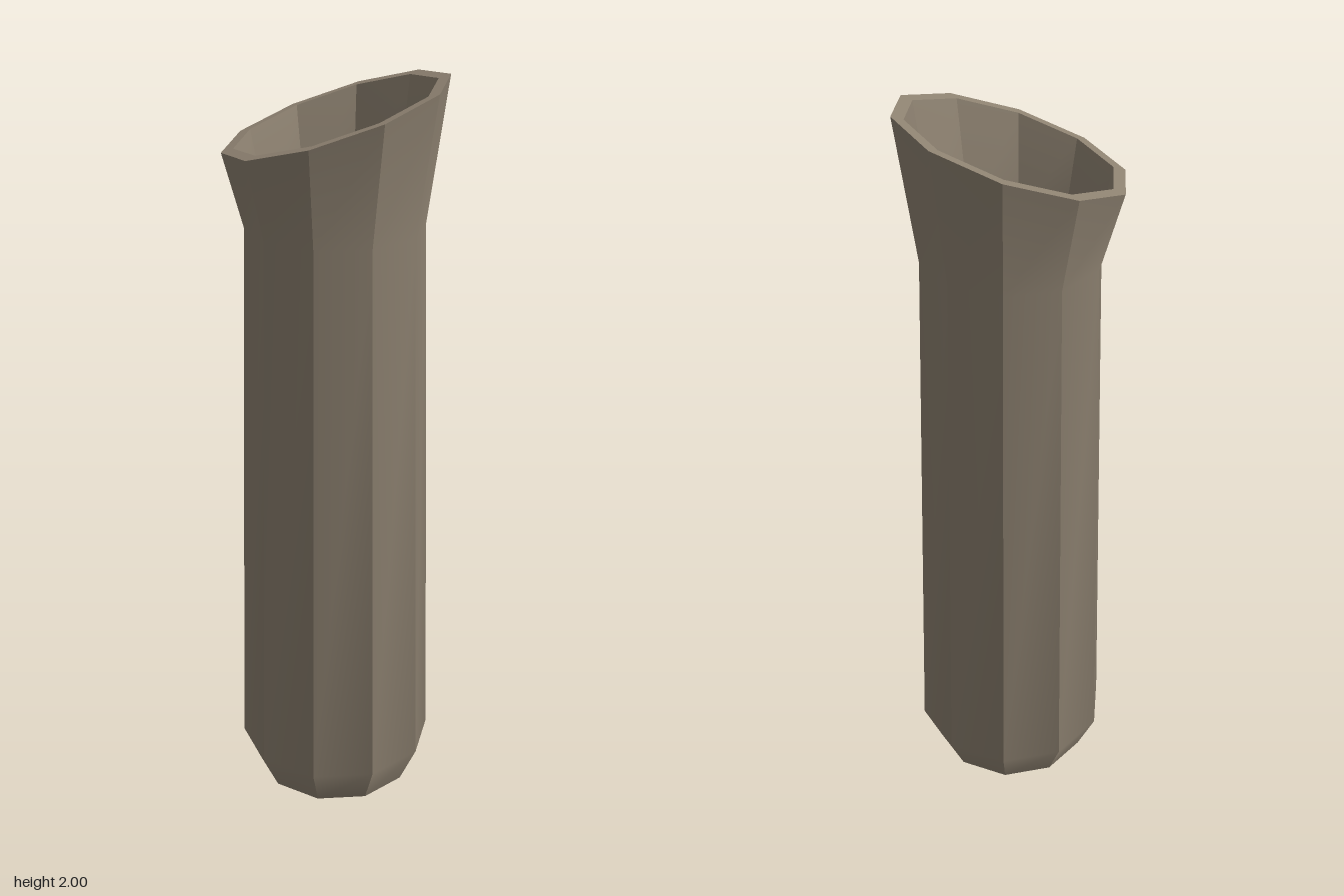
import * as THREE from 'three';
import { toCreasedNormals } from 'three/addons/utils/BufferGeometryUtils.js';

const SIDES = 10;
const TURN = THREE.MathUtils.degToRad(11.5);

// One ten-sided ring; a sloped ring follows the slanted mouth plane.
function ring({ r, y, sx = 1, slope = false, dx = 0, dz = 0 }) {
  return Array.from({ length: SIDES }, (_, i) => {
    const a = TURN + (i / SIDES) * Math.PI * 2;
    const x = r * sx * Math.cos(a) + dx;
    const z = r * Math.sin(a) + dz;
    return [x, slope ? y + 0.32 * x + 0.06 * z : y, z];
  });
}

// Skin consecutive rings, optionally closing the first or last with a flat cap.
function skin(sections, { capStart = false, capEnd = false } = {}) {
  const rings = sections.map(ring);
  const pos = [];
  const tri = (a, b, c) => pos.push(...a, ...b, ...c);
  for (let k = 0; k < rings.length - 1; k++) {
    for (let i = 0; i < SIDES; i++) {
      const j = (i + 1) % SIDES;
      const [lo, hi] = [rings[k], rings[k + 1]];
      tri(lo[i], hi[i], lo[j]);
      tri(hi[i], hi[j], lo[j]);
    }
  }
  const first = rings[0];
  const last = rings[rings.length - 1];
  for (let i = 1; i < SIDES - 1; i++) {
    if (capStart) tri(first[0], first[i], first[i + 1]);
    if (capEnd) tri(last[0], last[i + 1], last[i]);
  }
  const geo = new THREE.BufferGeometry();
  geo.setAttribute('position', new THREE.Float32BufferAttribute(pos, 3));
  return toCreasedNormals(geo, Math.PI / 6);
}

export function createModel() {
  const group = new THREE.Group();
  group.name = 'slantedVase';

  const clay = new THREE.MeshStandardMaterial({ color: 0x8f8372 });
  clay.name = 'greyBrownClay';

  const add = (name, geo) => {
    const mesh = new THREE.Mesh(geo, clay);
    mesh.name = name;
    group.add(mesh);
  };

  const outerLip = { r: 0.299, y: 1.907, sx: 0.955, slope: true };
  const innerLip = { r: 0.267, y: 1.907, sx: 0.955, slope: true };

  // Outside: flat foot, bevel, tapering body, flared neck
  add('outerBody', skin([
    { r: 0.22, y: 0 },
    { r: 0.27, y: 0.11 },
    { r: 0.233, y: 1.62 },
    outerLip,
  ], { capStart: true }));

  // Flat slanted rim
  add('rim', skin([outerLip, innerLip]));

  // Inside: flare, hollow body and floor
  add('innerWall', skin([
    innerLip,
    { r: 0.206, y: 1.62 },
    { r: 0.24, y: 0.13 },
    { r: 0.193, y: 0.03, dx: 0.008, dz: 0.004 },
  ], { capEnd: true }));

  return group;
}
